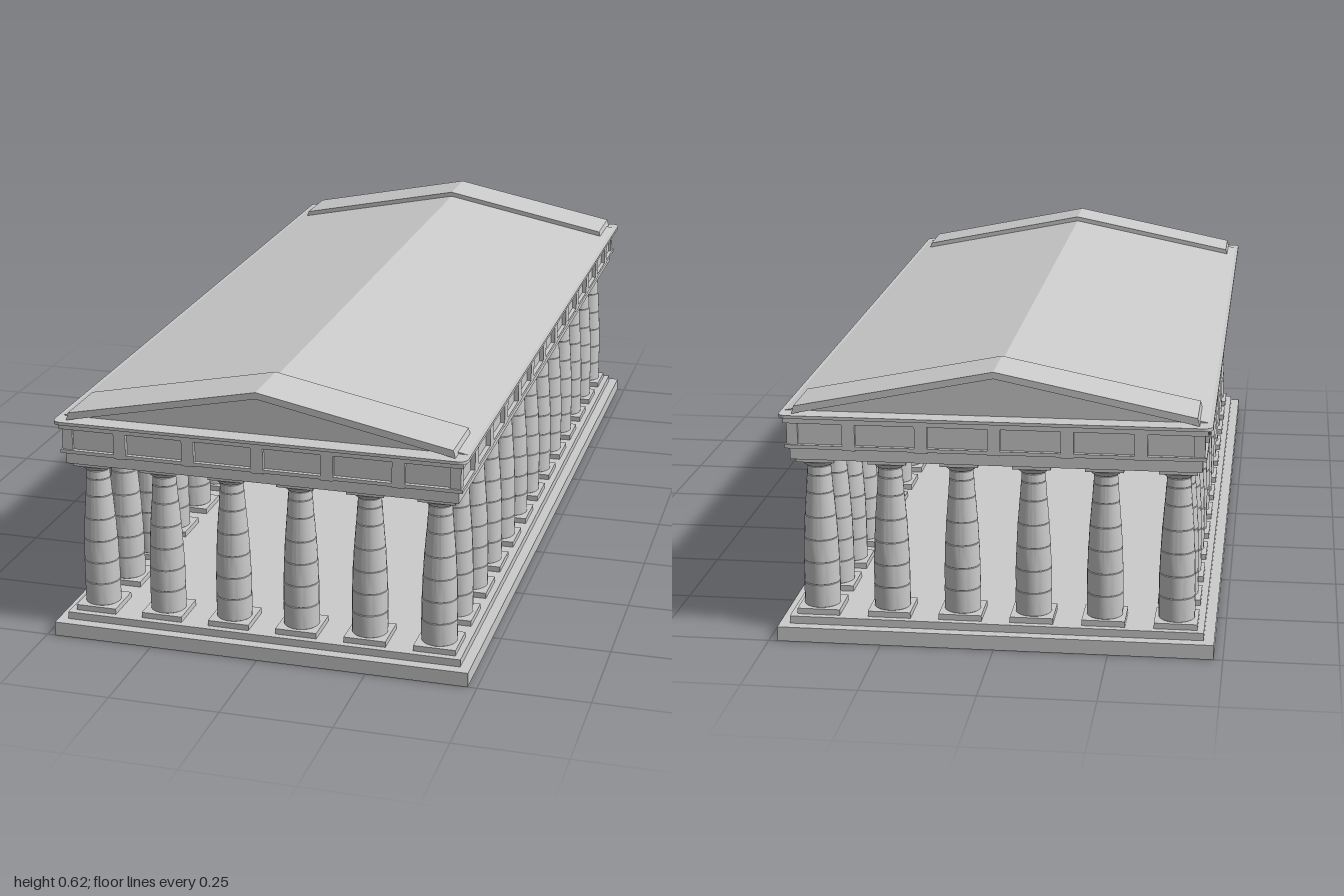
import * as THREE from 'three';
import { toCreasedNormals } from 'three/addons/utils/BufferGeometryUtils.js';

const material = new THREE.MeshStandardMaterial({ color: 0xcccccc });

function add(parent, name, geometry, x = 0, y = 0, z = 0) {
  const mesh = new THREE.Mesh(geometry, material);
  mesh.name = name;
  mesh.position.set(x, y, z);
  parent.add(mesh);
  return mesh;
}

// Box given by half width, half depth and its bottom and top heights
function slab(parent, name, hx, hz, y0, y1) {
  return add(parent, name, new THREE.BoxGeometry(2 * hx, y1 - y0, 2 * hz), 0, (y0 + y1) / 2, 0);
}

// Slab with rounded corners in plan
function roundedSlab(parent, name, hx, hz, y0, y1, r) {
  const s = new THREE.Shape();
  s.absarc(hx - r, hz - r, r, 0, Math.PI / 2);
  s.absarc(-hx + r, hz - r, r, Math.PI / 2, Math.PI);
  s.absarc(-hx + r, -hz + r, r, Math.PI, Math.PI * 1.5);
  s.absarc(hx - r, -hz + r, r, Math.PI * 1.5, Math.PI * 2);
  const geo = new THREE.ExtrudeGeometry(s, { depth: y1 - y0, bevelEnabled: false, curveSegments: 5 });
  geo.rotateX(-Math.PI / 2);
  return add(parent, name, geo, 0, y0, 0);
}

// Extrude an outline drawn in x and y between two z positions
function prism(parent, name, points, z0, z1) {
  const shape = new THREE.Shape(points.map(([x, y]) => new THREE.Vector2(x, y)));
  const geo = new THREE.ExtrudeGeometry(shape, { depth: z1 - z0, bevelEnabled: false });
  return add(parent, name, geo, 0, 0, z0);
}

// Shaft of stacked drums with fine joints, ending in a flared capital
function shaftGeometry() {
  const joints = [0.063, 0.116, 0.167, 0.219, 0.271, 0.325, 0.365, 0.385];
  const radii = [0.04, 0.04, 0.0395, 0.0375, 0.0345, 0.03, 0.027, 0.0255];
  const points = [];
  for (let i = 0; i < joints.length - 1; i++) {
    const cut = 0.001;
    points.push([radii[i] - 0.0015, joints[i]], [radii[i], joints[i] + cut]);
    points.push([radii[i + 1] + 0.0005, joints[i + 1] - cut], [radii[i + 1] - 0.0015, joints[i + 1]]);
  }
  points.push([0.029, 0.387], [0.035, 0.392], [0.039, 0.398], [0.039, 0.401]);
  const unique = points.filter((p, i) => i === 0 || p[0] !== points[i - 1][0] || p[1] !== points[i - 1][1]);
  return toCreasedNormals(new THREE.LatheGeometry(unique.map(([r, y]) => new THREE.Vector2(r, y)), 24), 0.5);
}

export function createModel() {
  const temple = new THREE.Group();
  temple.name = 'temple';

  // Stepped platform
  slab(temple, 'lowerStep', 0.48, 1, 0, 0.033);
  slab(temple, 'upperStep', 0.457, 0.975, 0.033, 0.05);

  // Colonnade: six across each end, thirteen along each side
  const stepX = 0.158, stepZ = 0.152;
  const shaft = shaftGeometry();
  const plinth = new THREE.BoxGeometry(0.095, 0.013, 0.095);
  const abacus = new THREE.BoxGeometry(0.083, 0.011, 0.083);
  for (let i = 0; i < 6; i++) {
    for (let k = 0; k < 13; k++) {
      if (i > 0 && i < 5 && k > 0 && k < 12) continue;
      const column = new THREE.Group();
      column.name = 'column';
      column.position.set((i - 2.5) * stepX, 0, (k - 6) * stepZ);
      add(column, 'plinth', plinth, 0, 0.0565, 0);
      add(column, 'shaft', shaft);
      add(column, 'abacus', abacus, 0, 0.4055, 0);
      temple.add(column);
    }
  }

  // Entablature
  slab(temple, 'architrave', 0.447, 0.965, 0.41, 0.437);
  slab(temple, 'fillet', 0.456, 0.974, 0.437, 0.445);
  slab(temple, 'frieze', 0.446, 0.964, 0.445, 0.495);
  slab(temple, 'friezeBand', 0.458, 0.976, 0.494, 0.508);
  roundedSlab(temple, 'cornice', 0.468, 0.99, 0.508, 0.515, 0.02);

  // Frieze blocks midway between columns, plus one at each corner
  const frontBlock = new THREE.BoxGeometry(0.028, 0.06, 0.02);
  const sideBlock = new THREE.BoxGeometry(0.02, 0.06, 0.036);
  const cornerBlock = new THREE.BoxGeometry(0.024, 0.05, 0.024);
  for (const s of [-1, 1]) {
    for (let i = -2; i <= 2; i++) add(temple, 'friezeBlock', frontBlock, i * stepX, 0.465, s * 0.964);
    for (let k = -5.5; k <= 5.5; k++) add(temple, 'friezeBlock', sideBlock, s * 0.446, 0.465, k * stepZ);
    for (const t of [-1, 1]) add(temple, 'cornerBlock', cornerBlock, s * 0.44, 0.47, t * 0.958);
  }

  // Gabled roof whose ends form the recessed pediment faces
  prism(temple, 'roof', [[-0.46, 0.515], [0.46, 0.515], [0, 0.608]], -0.945, 0.945);

  // Raised raking caps over both gable ends
  const cap = [
    [-0.44, 0.514], [-0.428, 0.517], [0, 0.605], [0.428, 0.517], [0.44, 0.514],
    [0.435, 0.532], [0, 0.62], [-0.435, 0.532],
  ];
  prism(temple, 'frontGableCap', cap, 0.83, 0.972);
  prism(temple, 'backGableCap', cap, -0.972, -0.83);

  return temple;
}
